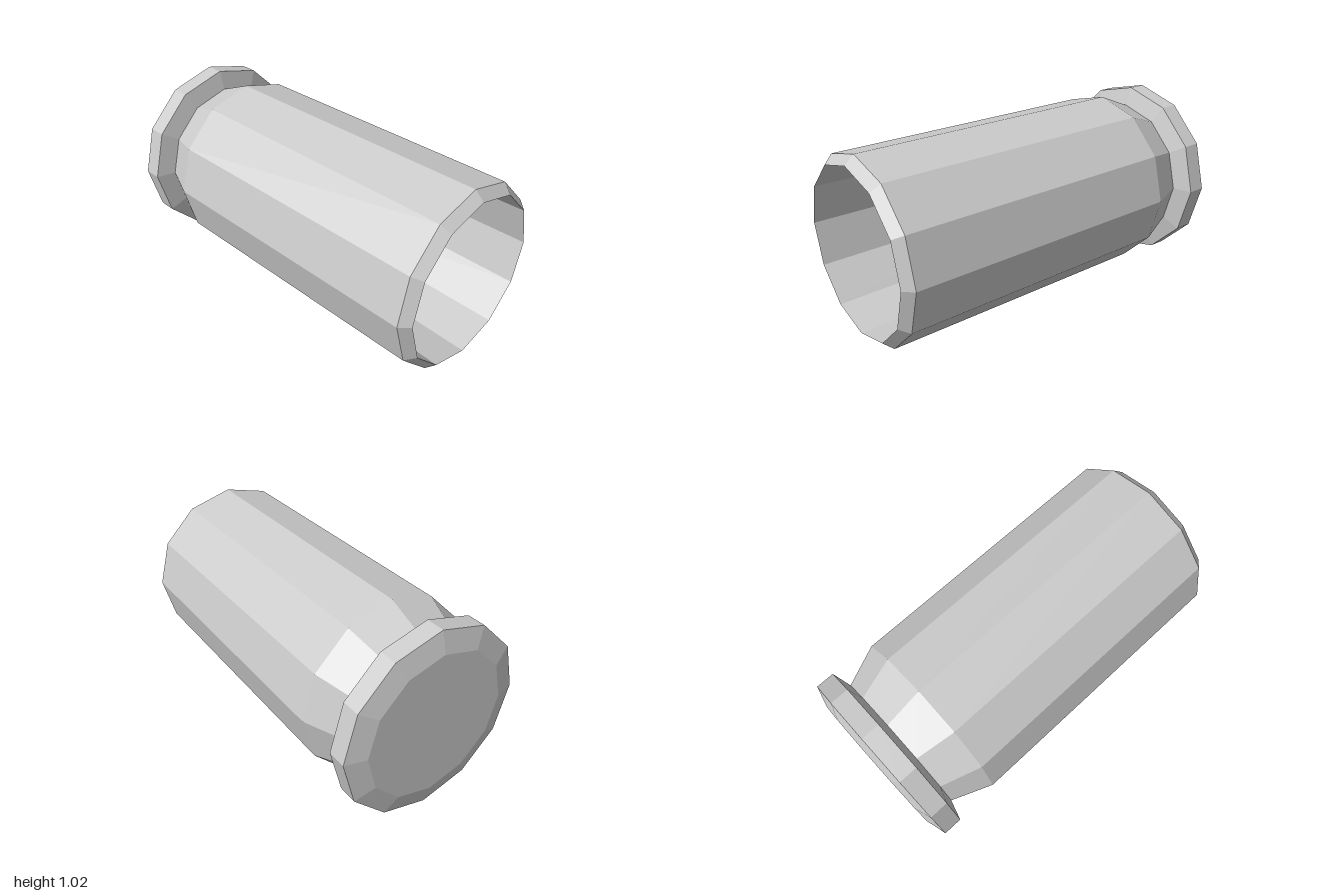
import * as THREE from 'three';

const SIDES = 12;
const CENTRE_Y = 0.512;

// Revolve a [radius, z] profile about the z axis; profiles run back to front on outer skins
function turned(name, profile, material) {
  const points = profile.map(([r, z]) => new THREE.Vector2(r, z));
  const geometry = new THREE.LatheGeometry(points, SIDES);
  geometry.rotateX(Math.PI / 2);
  const mesh = new THREE.Mesh(geometry, material);
  mesh.name = name;
  mesh.position.y = CENTRE_Y;
  return mesh;
}

export function createModel() {
  const material = new THREE.MeshStandardMaterial({ color: 0xcccccc, flatShading: true });
  const group = new THREE.Group();
  group.name = 'hollowCasing';

  // Flanged base with a bevelled rear edge
  group.add(turned('baseRim', [
    [0, -1], [0.4, -1], [0.512, -0.97], [0.512, -0.87], [0.408, -0.84],
  ], material));

  // Tapered neck, straight wall and chamfered mouth
  group.add(turned('outerWall', [
    [0.408, -0.84], [0.495, -0.63], [0.495, 0.95], [0.448, 1],
  ], material));

  // Narrowing bore, from the mouth inward
  group.add(turned('innerWall', [[0.448, 1], [0.413, -0.63]], material));

  // Floor of the bore, bulging gently towards the mouth
  group.add(turned('innerFloor', [
    [0.413, -0.63], [0.355, -0.6], [0.255, -0.57], [0.145, -0.55], [0, -0.54],
  ].map(([r, z]) => [r, z]), material));
  // The floor faces the mouth, so its profile runs from the edge to the centre

  return group;
}
